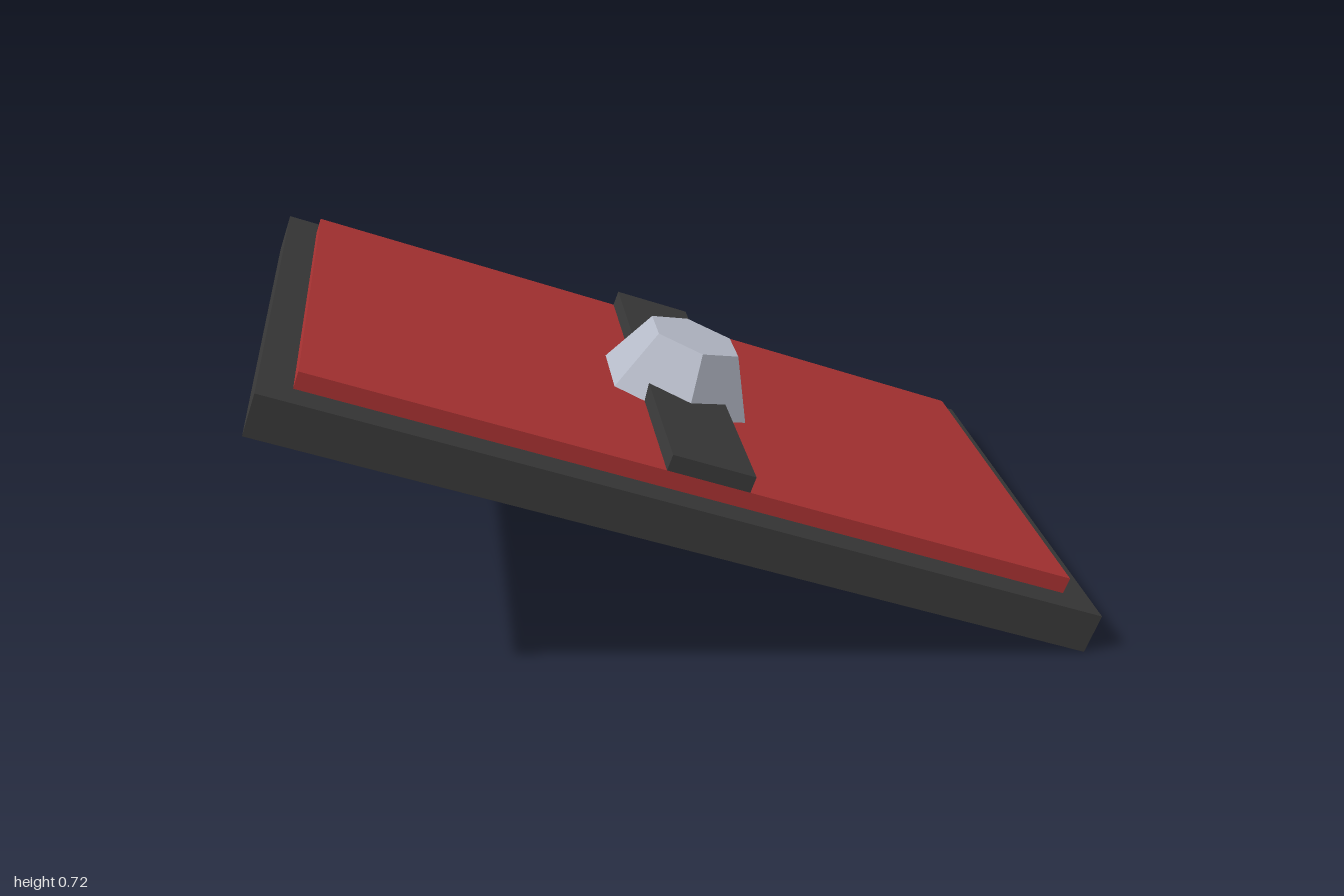
import * as THREE from 'three';

const frameMat = new THREE.MeshStandardMaterial({ color: 0x383838 });
frameMat.name = 'charcoal';
const panelMat = new THREE.MeshStandardMaterial({ color: 0xa83232 });
panelMat.name = 'red';
const knobMat = new THREE.MeshStandardMaterial({ color: 0xb6bbc8, flatShading: true });
knobMat.name = 'paleSteel';

export function createModel() {
  const model = new THREE.Group();
  model.name = 'tiltedPanel';

  // The whole panel leans 20 degrees and is turned 45 degrees
  const body = new THREE.Group();
  body.name = 'panelBody';
  body.rotation.order = 'YXZ';
  body.rotation.set(THREE.MathUtils.degToRad(20), Math.PI / 4, 0);
  body.position.y = 0.353;
  model.add(body);

  const add = (name, geometry, material, y) => {
    const mesh = new THREE.Mesh(geometry, material);
    mesh.name = name;
    mesh.position.y = y;
    body.add(mesh);
  };

  // Stacked layers, each resting on the one below
  const layers = [
    ['baseSlab', 1.09, 0.091, 1.817, frameMat],
    ['redPanel', 0.954, 0.037, 1.68, panelMat],
    ['crossBar', 0.954, 0.036, 0.182, frameMat],
  ];
  let y = -0.0455;
  for (const [name, w, h, d, material] of layers) {
    add(name, new THREE.BoxGeometry(w, h, d), material, y + h / 2);
    y += h;
  }

  // Six-sided tapered knob straddling the bar, seated on the red panel
  const knobHeight = 0.134;
  add('knob', new THREE.CylinderGeometry(0.11, 0.181, knobHeight, 6, 1, false, Math.PI / 6),
    knobMat, 0.0825 + knobHeight / 2);

  return model;
}
